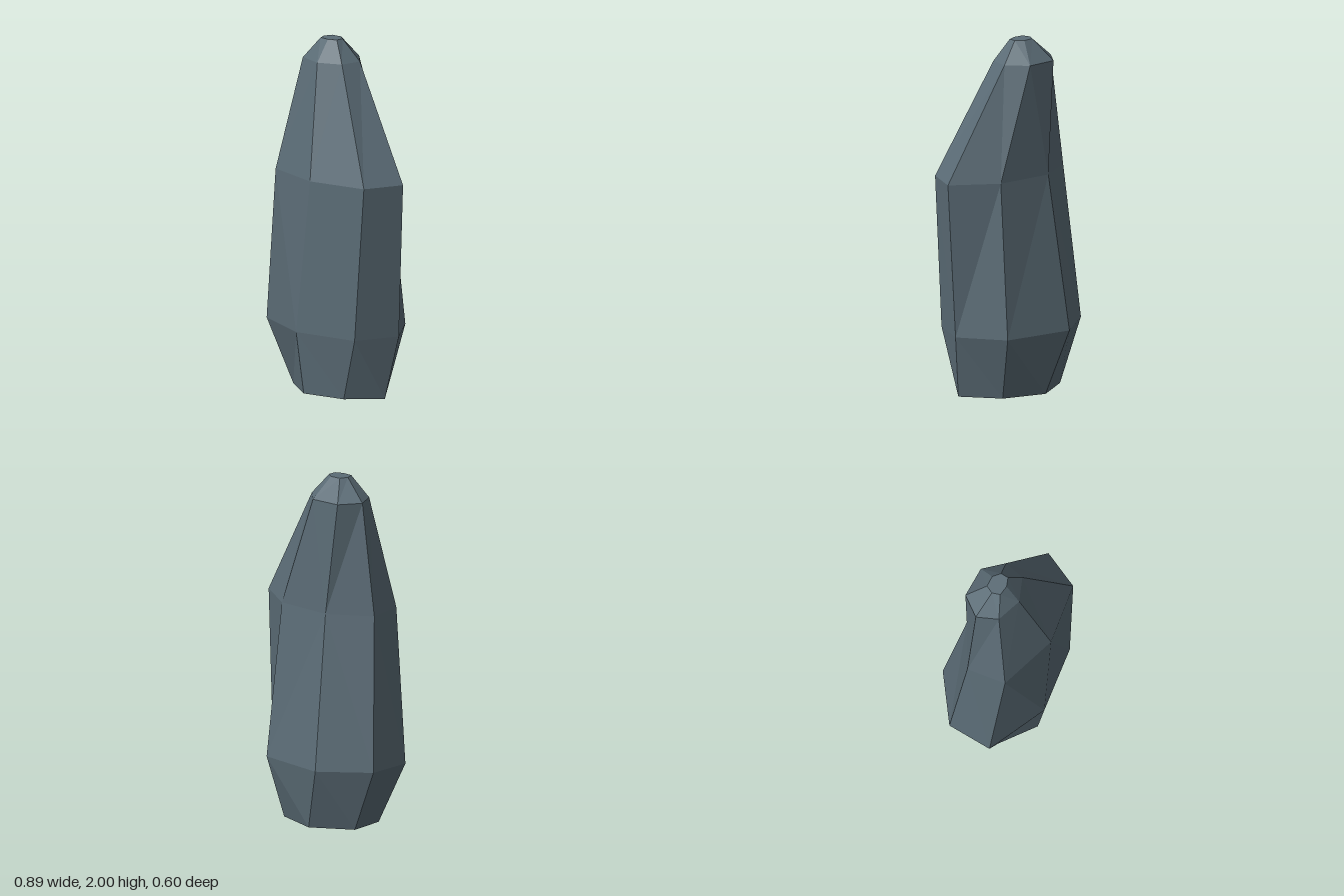
import * as THREE from 'three';

// Cross-sections: height, then x,z corners running front-left, front, right, back, left
const RINGS = [
  [0, [[-0.28, 0.12], [-0.07, 0.25], [0.185, 0.19], [0.34, 0.02], [0.175, -0.17], [-0.08, -0.235], [-0.3, -0.09]]],
  [0.36, [[-0.44, 0.17], [-0.08, 0.3], [0.3, 0.22], [0.4, -0.03], [0.217, -0.267], [-0.197, -0.302], [-0.447, -0.093]]],
  [1.24, [[-0.335, 0.205], [0.013, 0.284], [0.358, 0.205], [0.445, -0.018], [0.19, -0.172], [-0.15, -0.172], [-0.38, -0.017]]],
  [1.88, [[-0.23, 0.095], [-0.08, 0.132], [0.05, 0.068], [0.07, -0.055], [-0.035, -0.154], [-0.213, -0.14], [-0.29, -0.02]]],
  [2, [[-0.14, 0.045], [-0.08, 0.048], [-0.032, 0.025], [-0.032, -0.02], [-0.075, -0.052], [-0.138, -0.045], [-0.157, 0]]],
];

export function createModel() {
  const stone = new THREE.MeshStandardMaterial({ color: 0x5b6c76 });
  stone.name = 'slateStone';
  stone.flatShading = true;

  const rings = RINGS.map(([y, pts]) => pts.map(([x, z]) => new THREE.Vector3(x, y, z)));
  const sides = rings[0].length;
  const tris = [];

  // Side facets, each quad split along its shorter diagonal
  for (let r = 0; r < rings.length - 1; r++) {
    for (let i = 0; i < sides; i++) {
      const j = (i + 1) % sides;
      const a = rings[r][i], b = rings[r][j], c = rings[r + 1][j], d = rings[r + 1][i];
      if (a.distanceTo(c) < b.distanceTo(d)) tris.push(a, b, c, a, c, d);
      else tris.push(a, b, d, b, c, d);
    }
  }

  // Flat base and tip
  const base = rings[0], tip = rings[rings.length - 1];
  for (let i = 1; i < sides - 1; i++) {
    tris.push(base[0], base[i + 1], base[i]);
    tris.push(tip[0], tip[i], tip[i + 1]);
  }

  const geometry = new THREE.BufferGeometry().setFromPoints(tris);
  geometry.computeVertexNormals();

  const rock = new THREE.Mesh(geometry, stone);
  rock.name = 'standingStone';
  const group = new THREE.Group();
  group.name = 'rock';
  group.add(rock);
  return group;
}
